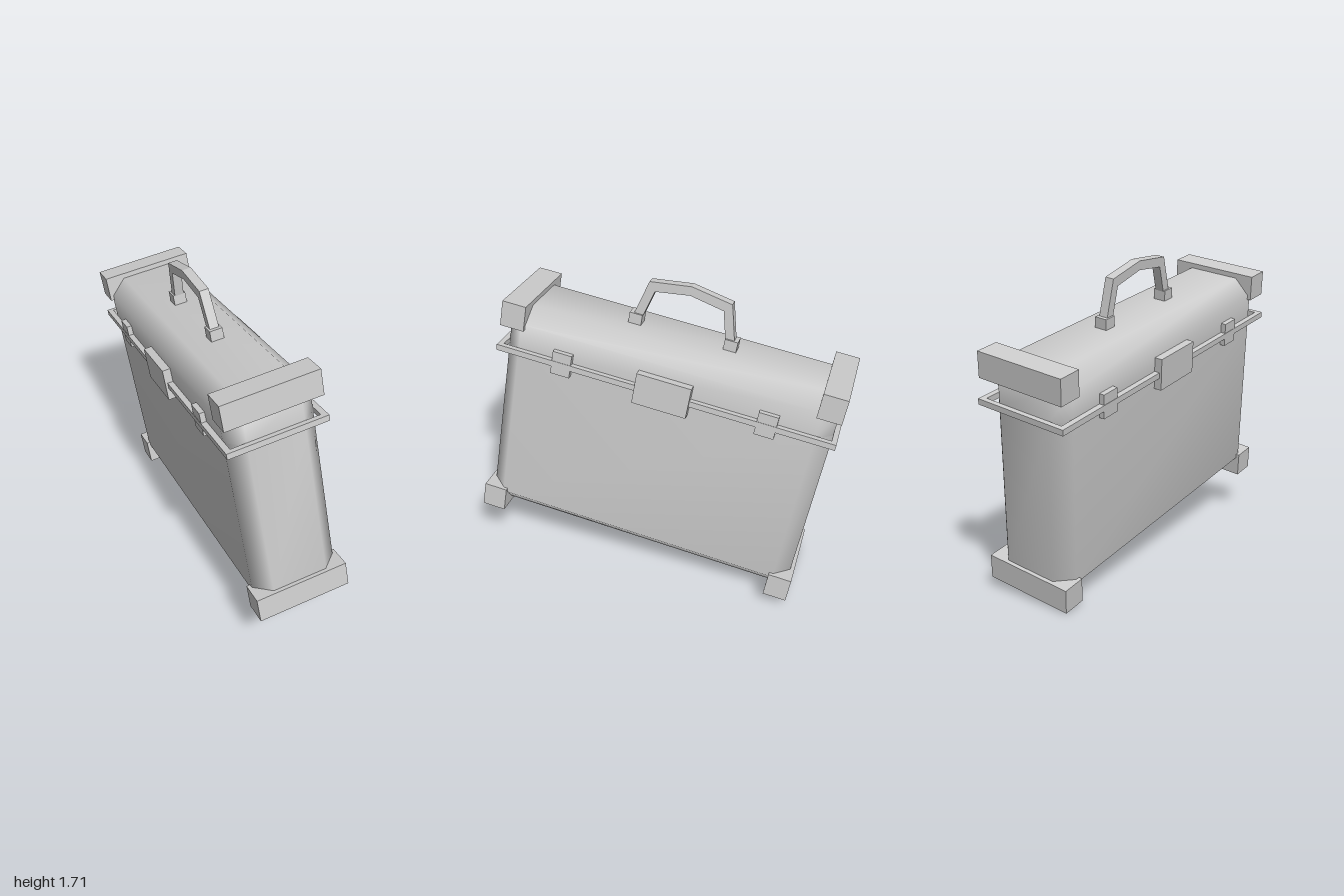
import * as THREE from 'three';
import { mergeVertices } from 'three/addons/utils/BufferGeometryUtils.js';

const HALF_W = 0.235, HALF_L = 0.893, CHAMFER = 0.085;
const BOTTOM = 0.03, TOP = 1.285, SEAM = 1.045;

// Half of the case: chamfered tray, closed below and open above, smooth shaded
function trayGeometry(height) {
  const w = HALF_W, l = HALF_L, c = CHAMFER;
  const octagon = [[c - w, l], [w - c, l], [w, l - c], [w, c - l],
    [w - c, -l], [c - w, -l], [-w, c - l], [-w, l - c]];
  const clamp = THREE.MathUtils.clamp;
  const inset = octagon.map(([x, z]) => [clamp(x, c - w, w - c), clamp(z, c - l, l - c)]);
  const rings = [[inset, 0], [octagon, c], [octagon, height]];
  const positions = [], index = [];
  for (const [ring, y] of rings) for (const [x, z] of ring) positions.push(x, y, z);
  for (let r = 0; r < 2; r++) {
    for (let j = 0; j < 8; j++) {
      const a = r * 8 + j, b = r * 8 + (j + 1) % 8;
      index.push(a, b, b + 8, a, b + 8, a + 8);
    }
  }
  for (let j = 1; j < 7; j++) index.push(0, j + 1, j);
  let geometry = new THREE.BufferGeometry();
  geometry.setAttribute('position', new THREE.Float32BufferAttribute(positions, 3));
  geometry.setIndex(index);
  geometry = mergeVertices(geometry);
  geometry.computeVertexNormals();
  return geometry;
}

export function createModel() {
  const model = new THREE.Group();
  model.name = 'suitcase';
  const grey = new THREE.MeshStandardMaterial({ color: 0xcccccc });
  grey.name = 'light grey';

  // The whole case is tipped back and to the side
  const tilted = new THREE.Group();
  tilted.name = 'tiltedCase';
  tilted.rotation.set(THREE.MathUtils.degToRad(-8.3), 0, THREE.MathUtils.degToRad(6.85), 'ZXY');
  tilted.position.set(0.077, 0.162, 0.095);
  model.add(tilted);

  const add = (name, geometry, x = 0, y = 0, z = 0) => {
    const mesh = new THREE.Mesh(geometry, grey);
    mesh.name = name;
    mesh.position.set(x, y, z);
    tilted.add(mesh);
    return mesh;
  };

  // Body and lid
  add('body', trayGeometry(SEAM - BOTTOM), 0, BOTTOM, 0);
  add('lid', trayGeometry(TOP - SEAM), 0, TOP, 0).rotation.z = Math.PI;

  // Corner guards across both ends, top and bottom
  const guard = new THREE.BoxGeometry(0.51, 0.14, 0.13);
  for (const y of [0.07, 1.243]) {
    for (const z of [-0.85, 0.85]) add('cornerGuard', guard, 0, y, z);
  }

  // Rim frame around the seam
  const rectangle = (path, hw, hl) => {
    path.moveTo(-hw, -hl);
    path.lineTo(hw, -hl);
    path.lineTo(hw, hl);
    path.lineTo(-hw, hl);
    path.closePath();
    return path;
  };
  const rimShape = rectangle(new THREE.Shape(), 0.265, 0.92);
  rimShape.holes.push(rectangle(new THREE.Path(), 0.234, 0.892));
  const rim = new THREE.ExtrudeGeometry(rimShape, { depth: 0.032, bevelEnabled: false });
  rim.rotateX(-Math.PI / 2);
  add('rim', rim, 0, 1.029, 0);

  // Lock plate and two clips on each broad side
  for (const side of [-1, 1]) {
    add('lockPlate', new THREE.BoxGeometry(0.06, 0.175, 0.295), side * 0.248, 1.051, 0);
    for (const z of [-0.557, 0.557]) {
      add('clip', new THREE.BoxGeometry(0.05, 0.13, 0.105), side * 0.238, 1.051, z);
    }
  }

  // Angular handle with a square foot at each end
  const outline = [[0.285, 1.3], [0.222, 1.535], [0, 1.57], [-0.222, 1.535], [-0.285, 1.3],
    [-0.235, 1.3], [-0.185, 1.488], [0, 1.52], [0.185, 1.488], [0.235, 1.3]];
  const handleShape = new THREE.Shape(outline.map(([x, y]) => new THREE.Vector2(x, y)));
  const handle = new THREE.ExtrudeGeometry(handleShape, { depth: 0.05, bevelEnabled: false });
  handle.translate(0, 0, -0.025);
  handle.rotateY(Math.PI / 2);
  add('handle', handle);
  for (const z of [-0.26, 0.26]) {
    add('handleFoot', new THREE.BoxGeometry(0.07, 0.07, 0.07), 0, 1.308, z);
  }

  return model;
}
